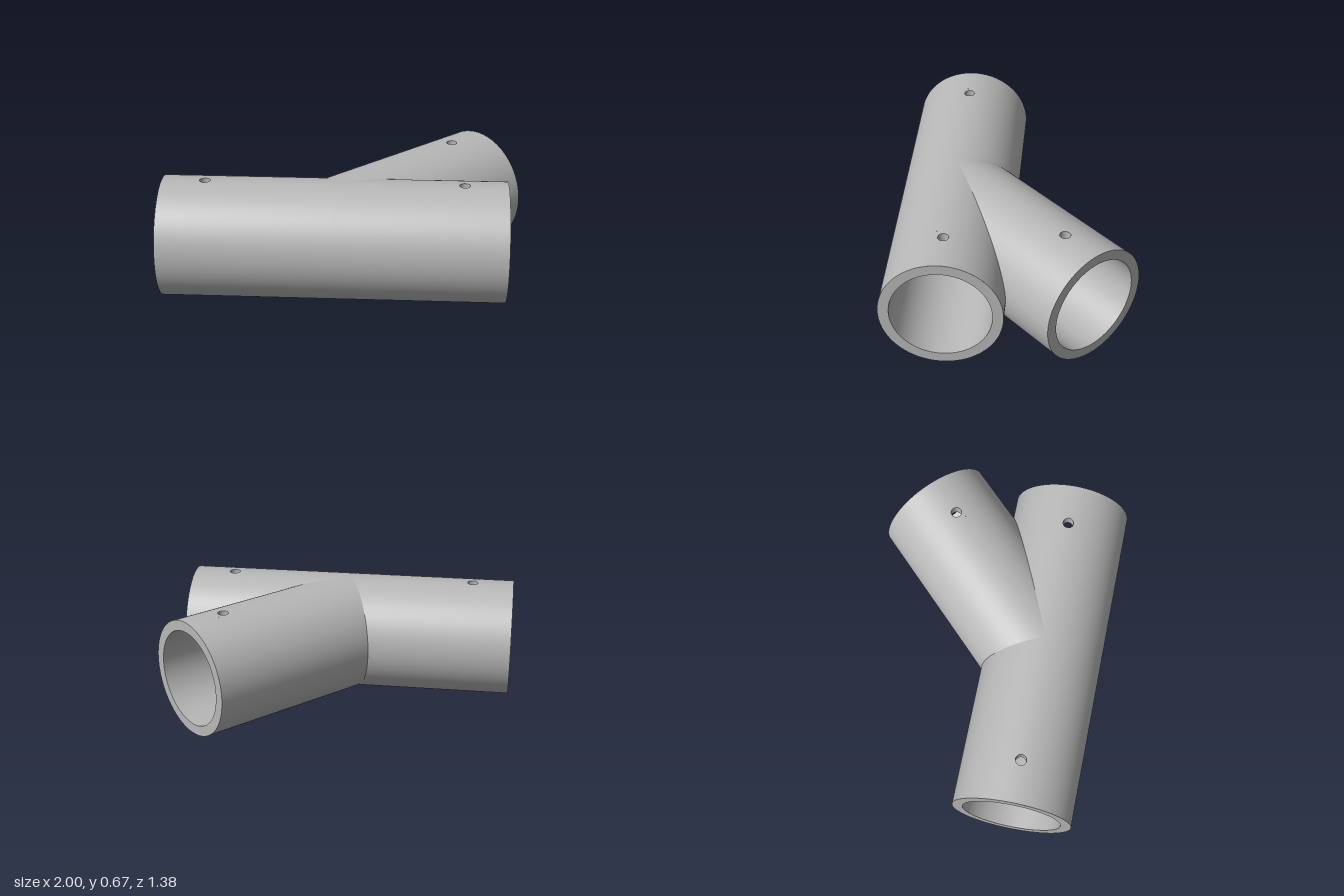
import * as THREE from 'three';
import { mergeGeometries } from 'three/addons/utils/BufferGeometryUtils.js';

const OUTER = 0.335, BORE = 0.276;      // pipe radii
const PIN = 0.03, PATCH = 0.05;         // pin hole radius, half size of the patch around it
const PIN_INSET = 0.238;                // pin hole distance from the pipe end
const MITRE = Math.tan(Math.PI / 8);    // the branch leaves at 45 degrees

// Grid surface; f(u, v) returns [position, normal], triangles face along the normal
function sheet(nu, nv, f) {
  const pos = [], nor = [], index = [], P = [], N = [];
  for (let j = 0; j <= nv; j++) {
    for (let i = 0; i <= nu; i++) {
      const [p, n] = f(i / nu, j / nv);
      P.push(p); N.push(n);
      pos.push(p.x, p.y, p.z);
      nor.push(n.x, n.y, n.z);
    }
  }
  const tri = (a, b, c) => {
    const face = P[b].clone().sub(P[a]).cross(P[c].clone().sub(P[a]));
    const mean = N[a].clone().add(N[b]).add(N[c]);
    if (face.dot(mean) >= 0) index.push(a, b, c);
    else index.push(a, c, b);
  };
  for (let j = 0; j < nv; j++) {
    for (let i = 0; i < nu; i++) {
      const a = j * (nu + 1) + i, b = a + 1, c = a + nu + 1, d = c + 1;
      tri(a, b, d);
      tri(a, d, c);
    }
  }
  const g = new THREE.BufferGeometry();
  g.setAttribute('position', new THREE.Float32BufferAttribute(pos, 3));
  g.setAttribute('normal', new THREE.Float32BufferAttribute(nor, 3));
  g.setIndex(index);
  return g;
}

// Cylinder wall around local x, mitred at its start, with a pin hole on top
function wall(r, side, start, length) {
  const c = length - PIN_INSET, a = Math.asin(PATCH / r);
  const at = (t, th) => [
    new THREE.Vector3(t, r * Math.cos(th), r * Math.sin(th)),
    new THREE.Vector3(0, side * Math.cos(th), side * Math.sin(th)),
  ];
  const strip = (nu, th0, th1, from, to) => sheet(nu, 6, (u, v) => {
    const th = th0 + (th1 - th0) * u;
    const t0 = from(r * Math.sin(th));
    return at(t0 + (to - t0) * v, th);
  });
  return mergeGeometries([
    strip(96, a, 2 * Math.PI - a, start, length),
    strip(8, -a, a, start, c - PATCH),
    strip(8, -a, a, () => c + PATCH, length),
    // square patch closing in on the round hole
    sheet(32, 2, (u, v) => {
      const p = u * 2 * Math.PI, co = Math.cos(p), si = Math.sin(p);
      const edge = PATCH / Math.max(Math.abs(co), Math.abs(si));
      const k = PIN + (edge - PIN) * v;
      return at(c + k * co, Math.asin(k * si / r));
    }),
  ]);
}

// One open pipe arm running from the junction along local +x
function pipeArm(name, start, length, angle, material) {
  const arm = new THREE.Group();
  arm.name = name;
  const add = (part, geometry) => {
    const mesh = new THREE.Mesh(geometry, material);
    mesh.name = part;
    arm.add(mesh);
  };
  add('outerWall', wall(OUTER, 1, start, length));
  add('boreWall', wall(BORE, -1, start, length));
  add('endRim', sheet(96, 1, (u, v) => {
    const th = u * 2 * Math.PI, r = BORE + (OUTER - BORE) * v;
    return [new THREE.Vector3(length, r * Math.cos(th), r * Math.sin(th)), new THREE.Vector3(1, 0, 0)];
  }));
  add('pinHole', sheet(32, 1, (u, v) => {
    const p = u * 2 * Math.PI, r = BORE + (OUTER - BORE) * v;
    const x = PIN * Math.cos(p), z = PIN * Math.sin(p);
    return [
      new THREE.Vector3(length - PIN_INSET + x, Math.sqrt(r * r - z * z), z),
      new THREE.Vector3(-Math.cos(p), 0, -Math.sin(p)),
    ];
  }));
  arm.rotation.y = angle;
  arm.position.set(-0.045, OUTER, 0.355);
  return arm;
}

export function createModel() {
  const grey = new THREE.MeshStandardMaterial({ color: 0xb8b8b8, side: THREE.DoubleSide });
  grey.name = 'grey';

  const model = new THREE.Group();
  model.name = 'pipeJunction';
  // start(s): where each arm begins at sideways distance s from its axis
  model.add(
    pipeArm('mainPipeRight', s => Math.max(0, s * MITRE), 0.955, Math.PI, grey),
    pipeArm('mainPipeLeft', s => Math.max(0, -s / MITRE), 0.94, 0, grey),
    pipeArm('branchPipe', s => (s > 0 ? s / MITRE : -s * MITRE), 1.143, Math.PI / 4, grey),
  );
  return model;
}
